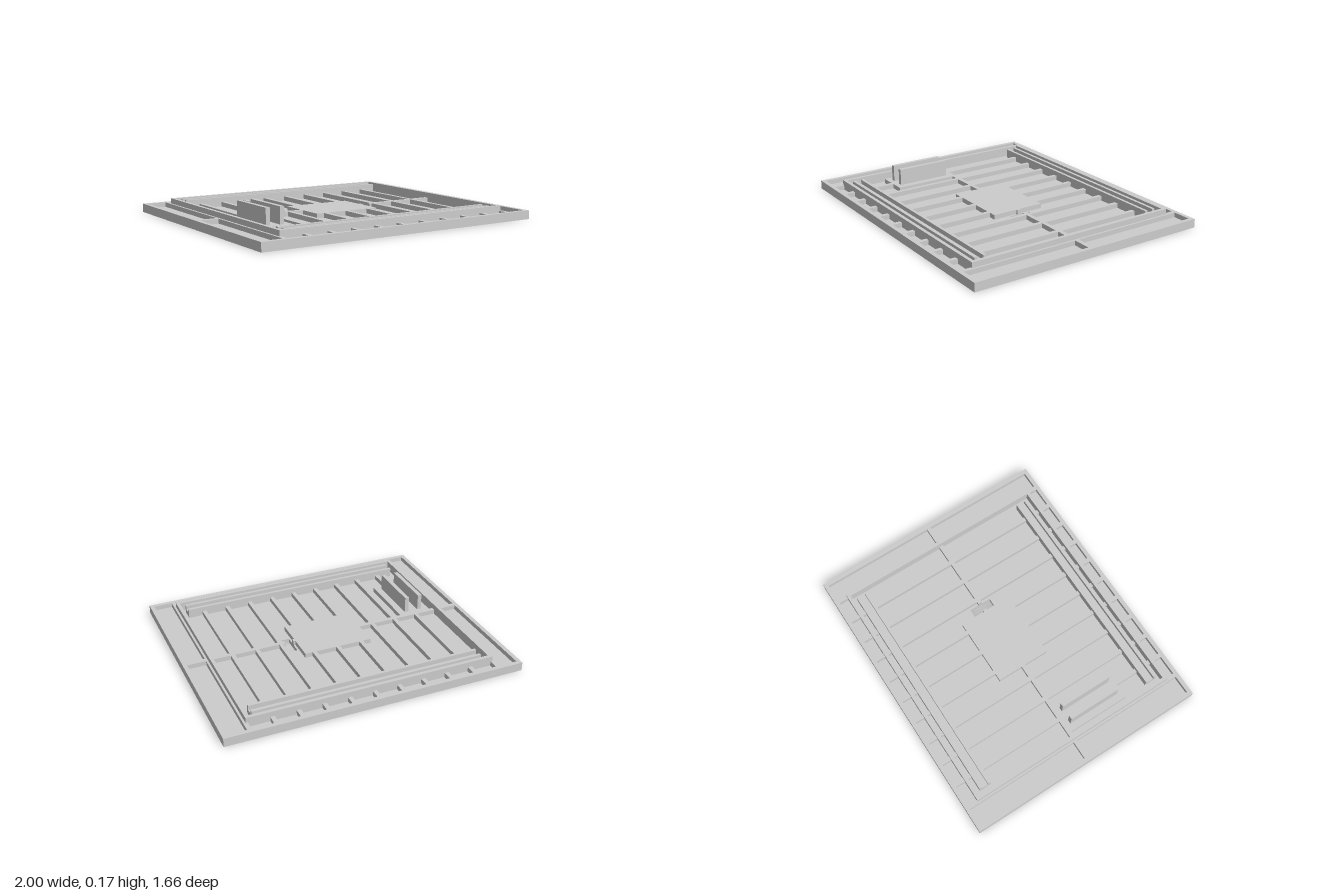
import * as THREE from 'three';

const WALL = 0.028;   // rib and rim thickness
const FLOOR = 0.027;  // floor plate thickness
const RIB_TOP = 0.058;
const RING_TOP = 0.093;
const HX = 1, HZ = 0.831;

export function createModel() {
  const model = new THREE.Group();
  model.name = 'ribbedCover';
  const grey = new THREE.MeshStandardMaterial({ color: 0xcccccc });
  grey.name = 'plain grey';

  const add = (name, geometry) => {
    const mesh = new THREE.Mesh(geometry, grey);
    mesh.name = name;
    model.add(mesh);
    return mesh;
  };

  // Box given by its limits on each axis
  const block = (name, x0, x1, y0, y1, z0, z1) =>
    add(name, new THREE.BoxGeometry(x1 - x0, y1 - y0, z1 - z0))
      .position.set((x0 + x1) / 2, (y0 + y1) / 2, (z0 + z1) / 2);

  // Horizontal plate with rectangular openings, each [x0, x1, z0, z1]
  const corners = ([x0, x1, z0, z1]) => [
    new THREE.Vector2(x0, -z1), new THREE.Vector2(x1, -z1),
    new THREE.Vector2(x1, -z0), new THREE.Vector2(x0, -z0),
  ];
  const plate = (name, rect, openings, y0, y1) => {
    const shape = new THREE.Shape(corners(rect));
    openings.forEach((o) => shape.holes.push(new THREE.Path(corners(o).reverse())));
    const geometry = new THREE.ExtrudeGeometry(shape, { depth: y1 - y0, bevelEnabled: false });
    geometry.rotateX(-Math.PI / 2).translate(0, y0, 0);
    add(name, geometry);
  };

  // Floor with a cable slot and a shallow recess underneath
  const slot = [0.245, 0.302, -0.079, 0.076];
  const recess = [-0.2, 0.2, -0.145, 0.145];
  const outline = [-HX, HX, -HZ, HZ];
  plate('floorBottom', outline, [slot, recess], 0, 0.02);
  plate('floorTop', outline, [slot], 0.02, FLOOR);

  // Outer rim and the raised locating ring
  plate('rim', outline, [[-HX + WALL, HX - WALL, -HZ + WALL, HZ - WALL]], FLOOR, RIB_TOP);
  plate('locatingRing', [-0.833, 0.833, -0.739, 0.739], [[-0.81, 0.81, -0.716, 0.716]], FLOOR, RING_TOP);

  // Stiffening ribs across the depth
  for (let i = -5; i <= 5; i++) {
    const x = i / 6;
    block('crossRib', x - WALL / 2, x + WALL / 2, FLOOR, RIB_TOP, -HZ + WALL, HZ - WALL);
  }
  // Long middle rib, interrupted by the slot
  block('middleRib', -HX + WALL, slot[0], FLOOR, RIB_TOP, -WALL / 2, WALL / 2);
  block('middleRib', slot[1], HX - WALL, FLOOR, RIB_TOP, -WALL / 2, WALL / 2);

  // Central boss and side pad
  block('centralBoss', -0.234, 0.232, FLOOR, RIB_TOP, -0.186, 0.186);
  block('finPad', -0.78, -0.56, FLOOR, RIB_TOP, 0, 0.442);

  // Two upright fins on the pad
  for (const x of [-0.718, -0.62]) {
    block('fin', x - 0.014, x + 0.014, RIB_TOP, 0.168, 0.039, 0.406);
  }

  // Open channels along the front and back edges
  for (const side of [-1, 1]) {
    const z = side * 0.648;
    block('channelBase', -0.778, 0.778, FLOOR, 0.06, z - 0.04, z + 0.04);
    for (const edge of [-1, 1]) {
      const w = z + edge * 0.031;
      block('channelWall', -0.778, 0.778, FLOOR, 0.09, w - 0.01, w + 0.01);
    }
  }
  return model;
}
